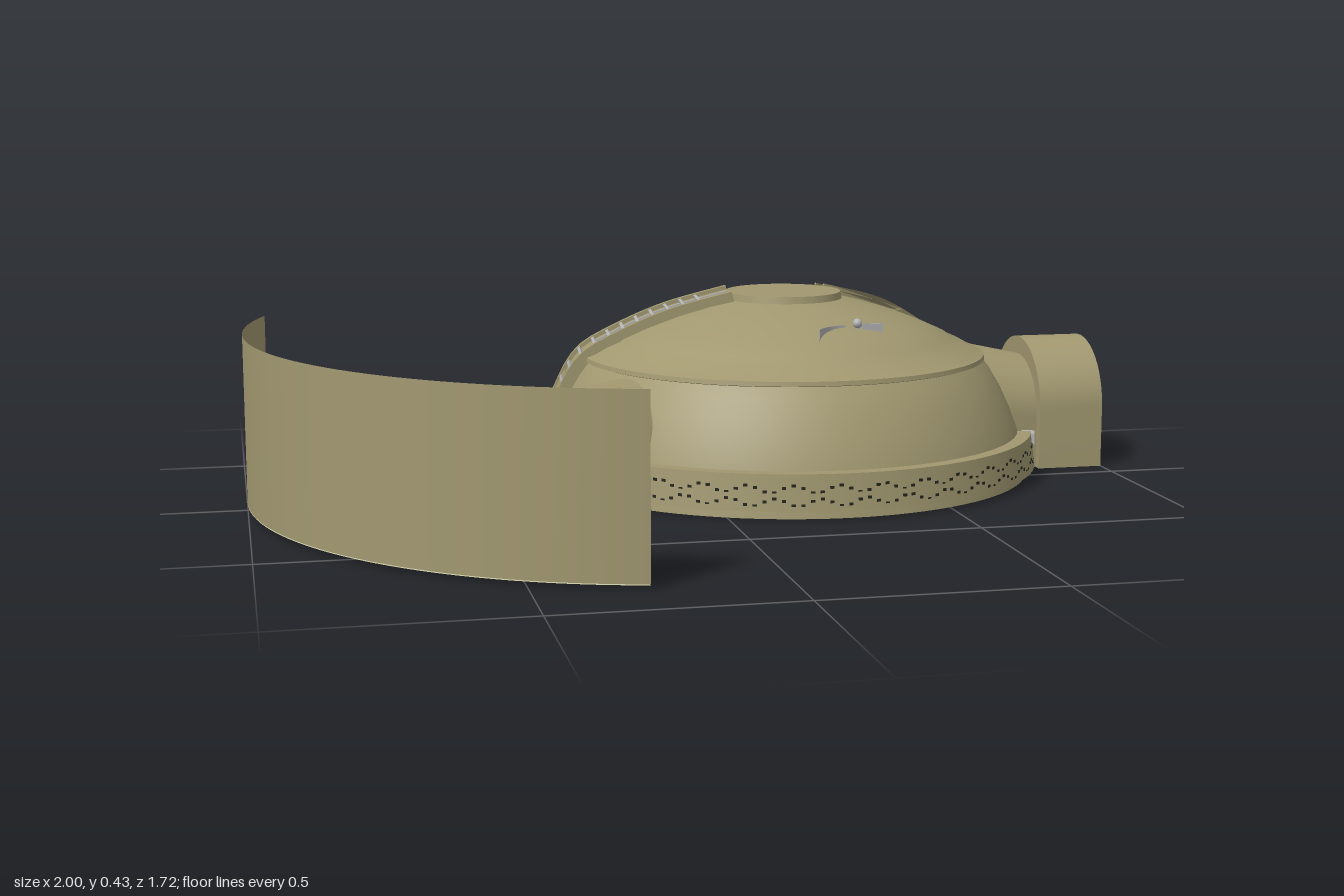
import * as THREE from 'three';
import { mergeGeometries, toCreasedNormals } from 'three/addons/utils/BufferGeometryUtils.js';

const mat = (name, color, side = THREE.FrontSide) => {
  const m = new THREE.MeshStandardMaterial({ color, side });
  m.name = name;
  return m;
};
const rad = THREE.MathUtils.degToRad;
const v2 = (list) => list.map(([x, y]) => new THREE.Vector2(x, y));

export function createModel() {
  const olive = mat('olive', 0xa19870);
  const oliveSheet = mat('oliveSheet', 0xa19870, THREE.DoubleSide);
  const sand = mat('sand', 0xcac9a4, THREE.DoubleSide);
  const dark = mat('dark', 0x25241d);
  const grey = mat('grey', 0xb2b2b4, THREE.DoubleSide);
  const root = new THREE.Group();
  root.name = 'domeBunker';
  const CX = 0.254, CZ = -0.224;
  const hub = new THREE.Group(); // everything placed around the dome axis
  hub.name = 'dome';
  hub.position.set(CX, 0, CZ);
  root.add(hub);

  const add = (parent, name, geo, material) => {
    const m = new THREE.Mesh(geo, material);
    m.name = name;
    parent.add(m);
    return m;
  };
  // group whose local +x points outward at the given angle (0 = +x, 90 = +z)
  const spoke = (name, deg) => {
    const g = new THREE.Group();
    g.name = name;
    g.rotation.y = -rad(deg);
    hub.add(g);
    return g;
  };
  // move vertices by a rule
  const warp = (geo, rule) => {
    const p = geo.attributes.position, v = new THREE.Vector3();
    for (let i = 0; i < p.count; i++) {
      rule(v.fromBufferAttribute(p, i));
      p.setXYZ(i, v.x, v.y, v.z);
    }
    geo.computeVertexNormals();
    return geo;
  };
  // extrude a radius/height outline across a width
  const slab = (pts, width, z = 0) => new THREE.ExtrudeGeometry(new THREE.Shape(pts),
    { depth: width, bevelEnabled: false }).translate(0, 0, z - width / 2);

  // Dome shell with stepped rings and top cap
  const shell = new THREE.LatheGeometry(v2([[0, 0], [0.575, 0], [0.568, 0.05], [0.555, 0.1], [0.536, 0.15],
    [0.513, 0.2], [0.486, 0.245], [0.468, 0.268], [0.474, 0.27], [0.472, 0.28], [0.455, 0.286], [0.425, 0.303],
    [0.395, 0.316], [0.388, 0.322], [0.33, 0.348], [0.26, 0.374], [0.19, 0.395], [0.138, 0.407],
    [0.135, 0.423], [0, 0.424]]), 96);
  add(hub, 'domeShell', toCreasedNormals(shell, 0.5), olive);

  // Base skirts: two arcs, with two wavy rows of studs
  const skirt = (name, a0, a1) => {
    const s = new THREE.Shape();
    s.absarc(0, 0, 0.596, rad(a0), rad(a1), false);
    s.absarc(0, 0, 0.53, rad(a1), rad(a0), true);
    const geo = new THREE.ExtrudeGeometry(s, { depth: 0.08, bevelEnabled: false, curveSegments: 48 });
    geo.rotateX(Math.PI / 2).translate(0, 0.1, 0);
    warp(geo, (v) => { const k = 1 - (v.y - 0.02) * 0.2; v.x *= k; v.z *= k; });
    add(hub, name, toCreasedNormals(geo, 0.5), olive);
    const studs = [];
    for (let a = a0 + 2, i = 0; a < a1 - 1; a += 2, i++) {
      for (const y of [0.04, 0.068]) {
        studs.push(new THREE.BoxGeometry(0.006, 0.006, 0.009)
          .translate(0.594 - (y - 0.02) * 0.12, y + 0.008 * Math.sin(i * 1.3 + y * 90), 0).rotateY(-rad(a)));
      }
    }
    add(hub, name + 'Studs', mergeGeometries(studs), dark);
  };
  skirt('frontSkirt', 20, 135);
  skirt('backSkirt', 195, 316);
  const clasp = spoke('skirtClasp', 20);
  add(clasp, 'claspBlock', new THREE.BoxGeometry(0.03, 0.025, 0.05).translate(0.58, 0.085, 0), grey);

  // Climbing tracks that follow the dome curve
  const path = new THREE.SplineCurve(v2([[0.578, 0], [0.562, 0.09], [0.526, 0.18], [0.475, 0.27],
    [0.39, 0.322], [0.27, 0.373], [0.125, 0.412]]));
  const off = (t, d) => {
    const p = path.getPointAt(t), n = path.getTangentAt(t);
    return new THREE.Vector2(p.x + n.y * d, Math.max(0, p.y - n.x * d));
  };
  const band = (t0, t1, d) => {
    const outer = [], inner = [];
    for (let i = 0; i <= 24; i++) {
      const t = t0 + (t1 - t0) * i / 24;
      outer.push(off(t, d));
      inner.unshift(off(t, -0.025));
    }
    return outer.concat(inner);
  };
  const track = (name, deg, width, pointed) => {
    const g = spoke(name, deg);
    const narrow = (x) => pointed ? THREE.MathUtils.clamp((x - 0.08) / 0.2, 0.12, 1) : 1;
    const shape = (geo) => toCreasedNormals(warp(geo, (v) => { v.z *= narrow(v.x); }), 0.5);
    add(g, 'trackBed', shape(slab(band(0, 1, 0.009), width)), olive);
    for (const s of [-1, 1]) {
      add(g, 'trackRail', shape(slab(band(0, 1, 0.018), 0.016, s * (width / 2 - 0.008))), olive);
    }
    const rungs = [];
    for (let t = 0.06; t < 0.93; t += 0.055) {
      const p = off(t, 0.012), n = path.getTangentAt(t);
      rungs.push(new THREE.BoxGeometry(0.008, 0.007, (width - 0.03) * narrow(p.x))
        .rotateZ(Math.atan2(-n.x, n.y)).translate(p.x, p.y, 0));
    }
    add(g, 'trackRungs', mergeGeometries(rungs), grey);
    return g;
  };
  const wide = track('rightTrack', 186.5, 0.14, false);
  add(wide, 'centreRod', slab(band(0.5, 0.99, 0.014), 0.007), grey);
  add(wide, 'lowerTread', slab(band(0, 0.36, 0.014), 0.1), olive);
  track('leftTrack', -33, 0.12, true);

  // Arched passages: profile across, extruded outward from r0 to r1
  const passage = (parent, name, r0, r1, w0, w1) => {
    const s = new THREE.Shape();
    s.moveTo(-1, 0);
    s.lineTo(1, 0);
    s.lineTo(1, 0.9);
    s.absarc(0, 0.9, 1, 0, Math.PI, false);
    s.closePath();
    const geo = new THREE.ExtrudeGeometry(s, { depth: 1, bevelEnabled: false, curveSegments: 20 });
    warp(geo, (v) => {
      const w = w0 + (w1 - w0) * v.z;
      v.set(v.x * w, v.y * w, r0 + (r1 - r0) * v.z);
    }).rotateY(Math.PI / 2);
    add(parent, name, toCreasedNormals(geo, 0.5), olive);
  };
  const east = spoke('leftEntrance', 0);
  passage(east, 'entranceNeck', 0.38, 0.6, 0.158, 0.133);
  passage(east, 'entrancePorch', 0.59, 0.746, 0.156, 0.156);
  add(east, 'porchSill', new THREE.BoxGeometry(0.156, 0.1, 0.312).translate(0.668, 0.05, 0), olive);
  const west = spoke('rightEntrance', 151);
  passage(west, 'tunnel', 0.35, 0.78, 0.142, 0.126);
  passage(west, 'tunnelRim', 0.77, 0.828, 0.132, 0.132);

  // Curved blast screen and its fan-shaped floor, centred on the tunnel axis
  const R = 0.9115, half = rad(49.1), tc = 0.3915;
  const screen = new THREE.CylinderGeometry(R, R, 0.37, 40, 1, true, Math.PI / 2 - half, 2 * half);
  add(west, 'blastScreen', screen.translate(tc, 0.195, 0), oliveSheet);
  const fan = new THREE.Shape();
  fan.moveTo(0.828, 0.128);
  fan.lineTo(0.828, -0.128);
  fan.absarc(tc, 0, R, -half, half, false);
  fan.closePath();
  add(west, 'screenFloor', new THREE.ShapeGeometry(fan, 40).rotateX(-Math.PI / 2).translate(0, 0.008, 0), sand);

  // Rear hooded window
  const hood = spoke('rearHood', -97);
  add(hood, 'hoodBody', slab(v2([[0.44, 0.125], [0.53, 0.125], [0.628, 0.125], [0.632, 0.14], [0.575, 0.245],
    [0.535, 0.25], [0.525, 0.235], [0.44, 0.235]]), 0.255), olive);
  add(hood, 'hoodTopPane', slab(v2([[0.46, 0.234], [0.527, 0.234], [0.527, 0.241], [0.46, 0.241]]), 0.235), grey);
  add(hood, 'hoodLowerPane', slab(v2([[0.535, 0.12], [0.62, 0.12], [0.62, 0.126], [0.535, 0.126]]), 0.235), grey);
  for (const z of [-0.06, 0.06]) {
    add(hood, 'hoodHandle', new THREE.BoxGeometry(0.012, 0.014, 0.035).translate(0.45, 0.29, z), grey);
  }

  // Square vents: dark frame around a six-sided plate, with a chequered edge
  const vent = (name, deg) => {
    const g = new THREE.Group();
    g.name = name;
    g.position.set(0.514, 0.204, 0);
    g.rotation.z = rad(28);
    spoke(name + 'Mount', deg).add(g);
    const hex = [];
    for (let i = 0; i < 6; i++) hex.push([0.047 * Math.cos(i * Math.PI / 3), 0.047 * Math.sin(i * Math.PI / 3)]);
    const frame = new THREE.Shape(v2([[-0.06, -0.07], [0.06, -0.07], [0.06, 0.07], [-0.06, 0.07]]));
    frame.holes.push(new THREE.Path(v2(hex)));
    const plate = (s, depth) => new THREE.ExtrudeGeometry(s, { depth, bevelEnabled: false }).rotateY(Math.PI / 2);
    add(g, 'ventFrame', plate(frame, 0.009), dark);
    add(g, 'ventPlate', plate(new THREE.Shape(v2(hex)), 0.006), olive);
    const checks = [];
    for (let i = -2; i <= 2; i++) {
      for (const s of [-1, 1]) {
        checks.push(new THREE.BoxGeometry(0.002, 0.007, 0.007).translate(0.0095, s * 0.061, i * 0.022));
        checks.push(new THREE.BoxGeometry(0.002, 0.007, 0.007).translate(0.0095, i * 0.024, s * 0.053));
      }
    }
    add(g, 'ventChecks', mergeGeometries(checks), olive);
  };
  vent('rightVent', 204);
  vent('leftVent', -50.5);

  // Lookout on the front of the roof: curved shield, small panel and ball-topped post
  const lookout = new THREE.Group();
  lookout.name = 'lookout';
  root.add(lookout);
  add(lookout, 'curvedShield', new THREE.CylinderGeometry(0.11, 0.11, 0.07, 14, 1, true, Math.PI * 1.45, -Math.PI * 0.38)
    .translate(0.355, 0.338, 0.15), grey);
  add(lookout, 'sidePanel', new THREE.BoxGeometry(0.05, 0.06, 0.004).translate(0.395, 0.345, 0.04), grey);
  add(lookout, 'post', new THREE.CylinderGeometry(0.004, 0.004, 0.06, 8).translate(0.36, 0.35, 0.04), grey);
  add(lookout, 'postBall', new THREE.SphereGeometry(0.011, 12, 8).translate(0.36, 0.376, 0.04), grey);

  return root;
}
